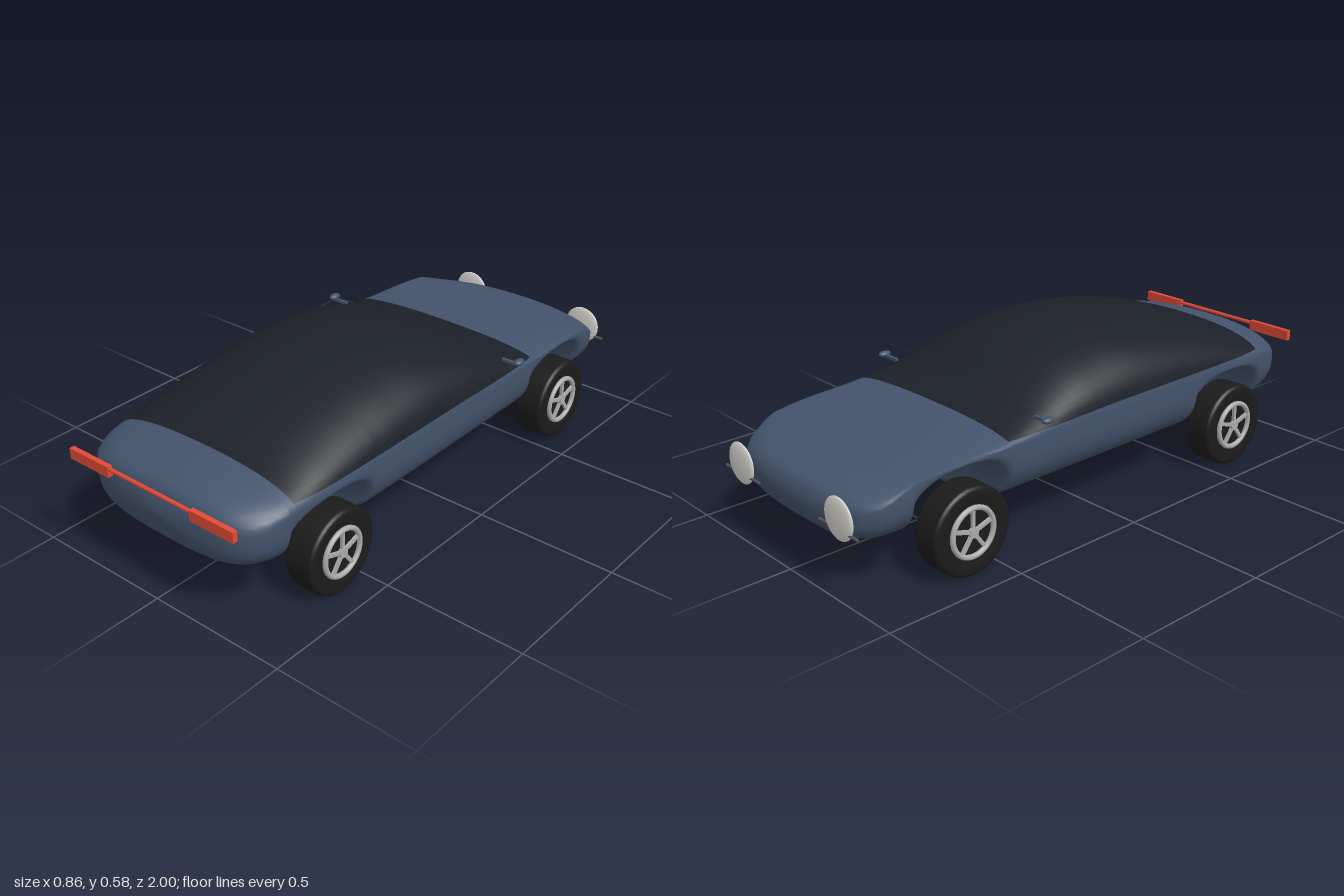
import * as THREE from 'three';

const mat = (color) => new THREE.MeshStandardMaterial({ color });
const paint = mat(0x44546c), glass = mat(0x1c2028), rubber = mat(0x1b1b1b);
const metal = mat(0xaaaaaa), lamp = mat(0xd8d6d0), red = mat(0xe04a36), dark = mat(0x555555);

function add(parent, name, geometry, material, x = 0, y = 0, z = 0) {
  const mesh = new THREE.Mesh(geometry, material);
  mesh.name = name;
  mesh.position.set(x, y, z);
  parent.add(mesh);
  return mesh;
}

// Smooth monotone interpolation through [z, value] pairs
function curve(pts) {
  const slope = (i) => (pts[i + 1][1] - pts[i][1]) / (pts[i + 1][0] - pts[i][0]);
  const last = pts.length - 1;
  const tangent = (i) => {
    if (i === 0) return slope(0);
    if (i === last) return slope(last - 1);
    const a = slope(i - 1), b = slope(i);
    return a * b <= 0 ? 0 : (2 * a * b) / (a + b);
  };
  return (z) => {
    let i = 0;
    while (i < last - 1 && z > pts[i + 1][0]) i++;
    const h = pts[i + 1][0] - pts[i][0];
    const t = THREE.MathUtils.clamp((z - pts[i][0]) / h, 0, 1), t2 = t * t, t3 = t2 * t;
    return (2 * t3 - 3 * t2 + 1) * pts[i][1] + (t3 - 2 * t2 + t) * h * tangent(i)
      + (3 * t2 - 2 * t3) * pts[i + 1][1] + (t3 - t2) * h * tangent(i + 1);
  };
}

// Body lines along the length; the bonnet end is -z
const roofLine = curve([[-.985, .27], [-.975, .3], [-.95, .322], [-.9, .34], [-.8, .358], [-.7, .37],
  [-.55, .387], [-.44, .407], [-.29, .462], [-.2, .507], [-.075, .553], [.14, .58], [.3, .568],
  [.46, .54], [.62, .497], [.77, .445], [.9, .415], [.945, .395], [.965, .36], [.975, .32]]);
const floorLine = curve([[-.985, .235], [-.97, .19], [-.95, .165], [-.9, .147], [-.8, .135], [-.6, .13],
  [.6, .13], [.8, .137], [.87, .155], [.935, .19], [.96, .23], [.975, .29]]);
const beltLine = curve([[-.985, .25], [-.9, .29], [-.78, .35], [-.6, .362], [0, .365], [.8, .355],
  [.9, .33], [.975, .305]]);
const halfWidth = curve([[-.985, .1], [-.975, .2], [-.95, .29], [-.9, .35], [-.8, .375], [-.6, .385],
  [-.3, .392], [.1, .395], [.6, .39], [.8, .378], [.88, .36], [.94, .3], [.96, .22], [.975, .05]]);
const glassLine = curve([[-.44, .378], [.1, .39], [.77, .385]]);

const AXLES = [-.615, .61], ARCH = .185, GLASS = [-.44, .77];

function underside(z) {
  let y = floorLine(z);
  for (const axle of AXLES) {
    const d = z - axle;
    if (Math.abs(d) <= ARCH) y = Math.max(y, .15 + Math.sqrt(ARCH * ARCH - d * d));
  }
  return y;
}

// Closed cross-section: right-hand sill, window arc, other sill, then the lower half
const SIDE = 4, TOP = 28, LOW = 32, RING = 2 * SIDE + TOP + LOW;
function section(z) {
  const w = halfWidth(z), top = roofLine(z), belt = beltLine(z), low = underside(z);
  const f = THREE.MathUtils.clamp((glassLine(z) - belt) / (top - belt), .05, .6);
  const a0 = Math.asin(Math.pow(f, 2.3 / 2));
  const stops = [[0, a0, SIDE], [a0, Math.PI - a0, TOP], [Math.PI - a0, Math.PI, SIDE], [Math.PI, 2 * Math.PI, LOW]];
  const out = [];
  for (const [from, to, n] of stops) {
    for (let k = 0; k < n; k++) {
      const a = from + (to - from) * k / n, c = Math.cos(a), s = Math.sin(a);
      const upper = a < Math.PI - 1e-9, p = upper ? 2 / 2.3 : 2 / 3;
      const h = upper ? top - belt : belt - low;
      out.push(Math.sign(c) * w * Math.pow(Math.abs(c), p),
        belt + Math.sign(s) * h * Math.pow(Math.abs(s), p), z);
    }
  }
  return out;
}

function buildShell(parent) {
  // Stations are denser at the ends and around the wheel arches
  const zs = [-.985, -.982, -.975, -.965, -.95, -.93, -.9, -.87, -.83, .83, .87, .9, .925, .945, .955, .965, .971, .975, ...GLASS];
  for (let z = -.39; z < .4; z += .04) zs.push(z);
  for (const axle of AXLES) {
    zs.push(axle - ARCH - .001, axle + ARCH + .001);
    for (let k = 0; k <= 24; k++) zs.push(axle - ARCH * Math.cos(Math.PI * k / 24));
  }
  zs.sort((a, b) => a - b);

  const pos = [], bodyIndex = [], glassIndex = [];
  zs.forEach((z) => pos.push(...section(z)));
  for (let i = 0; i < zs.length - 1; i++) {
    const mid = (zs[i] + zs[i + 1]) / 2;
    for (let j = 0; j < RING; j++) {
      const a = i * RING + j, b = i * RING + (j + 1) % RING;
      const isGlass = mid > GLASS[0] && mid < GLASS[1] && j >= SIDE && j < SIDE + TOP;
      (isGlass ? glassIndex : bodyIndex).push(a, b, b + RING, a, b + RING, a + RING);
    }
  }
  // Nose and tail caps
  const nose = pos.length / 3, tail = nose + 1, lastRing = (zs.length - 1) * RING;
  pos.push(0, beltLine(-.985), -.987, 0, beltLine(.975), .976);
  for (let j = 0; j < RING; j++) {
    const k = (j + 1) % RING;
    bodyIndex.push(nose, k, j, tail, lastRing + j, lastRing + k);
  }
  // Shared normals keep paint and glass flush
  const whole = new THREE.BufferGeometry();
  whole.setAttribute('position', new THREE.Float32BufferAttribute(pos, 3));
  whole.setIndex([...bodyIndex, ...glassIndex]);
  whole.computeVertexNormals();
  const part = (index) => {
    const g = whole.clone();
    g.setIndex(index);
    return g;
  };
  add(parent, 'body', part(bodyIndex), paint);
  add(parent, 'windowCanopy', part(glassIndex), glass);
}

// Wheel with its axle along x and the spokes on +x
function buildWheel() {
  const wheel = new THREE.Group();
  wheel.name = 'wheel';
  const half = [[.147, .04], [.144, .048], [.135, .053], [.1, .053], [.086, .044], [0, .044]];
  const profile = [...half.map(([r, x]) => [r, -x]).reverse(), ...half].map((p) => new THREE.Vector2(...p));
  add(wheel, 'tyre', new THREE.LatheGeometry(profile, 40).rotateZ(-Math.PI / 2), rubber);
  for (const x of [-.05, .05]) {
    add(wheel, 'rimRing', new THREE.TorusGeometry(.08, .009, 10, 40).rotateY(Math.PI / 2), metal, x);
  }
  add(wheel, 'hub', new THREE.CylinderGeometry(.017, .017, .018, 20).rotateZ(Math.PI / 2), metal, .048);
  for (let k = 0; k < 5; k++) {
    const spoke = new THREE.BoxGeometry(.012, .07, .012).translate(0, .043, 0).rotateX(k * Math.PI * 2 / 5);
    add(wheel, 'spoke', spoke, metal, .048);
  }
  return wheel;
}

export function createModel() {
  const car = new THREE.Group();
  car.name = 'car';
  buildShell(car);

  for (const side of [-1, 1]) {
    for (const axle of AXLES) {
      const wheel = buildWheel();
      wheel.position.set(side * .363, .147, axle);
      if (side < 0) wheel.rotation.y = Math.PI;
      car.add(wheel);
    }
    // Round headlights with a thin bar across
    add(car, 'headlight', new THREE.SphereGeometry(1, 32, 20).scale(.07, .07, .012), lamp, side * .262, .265, -.988);
    add(car, 'headlightBar', new THREE.CylinderGeometry(.005, .005, .19, 10).rotateZ(Math.PI / 2), dark,
      side * .258, .23, -.989);
    // Door mirrors on short stalks
    add(car, 'mirror', new THREE.SphereGeometry(1, 20, 14).scale(.015, .011, .024), paint, side * .414, .424, -.31);
    add(car, 'mirrorStalk', new THREE.BoxGeometry(.06, .01, .012), paint, side * .38, .416, -.305);
    add(car, 'tailLight', new THREE.BoxGeometry(.175, .037, .018), red, side * .2625, .382, .99);
  }
  add(car, 'tailLightBar', new THREE.CylinderGeometry(.007, .007, .36, 12).rotateZ(Math.PI / 2), red, 0, .39, .99);
  return car;
}
